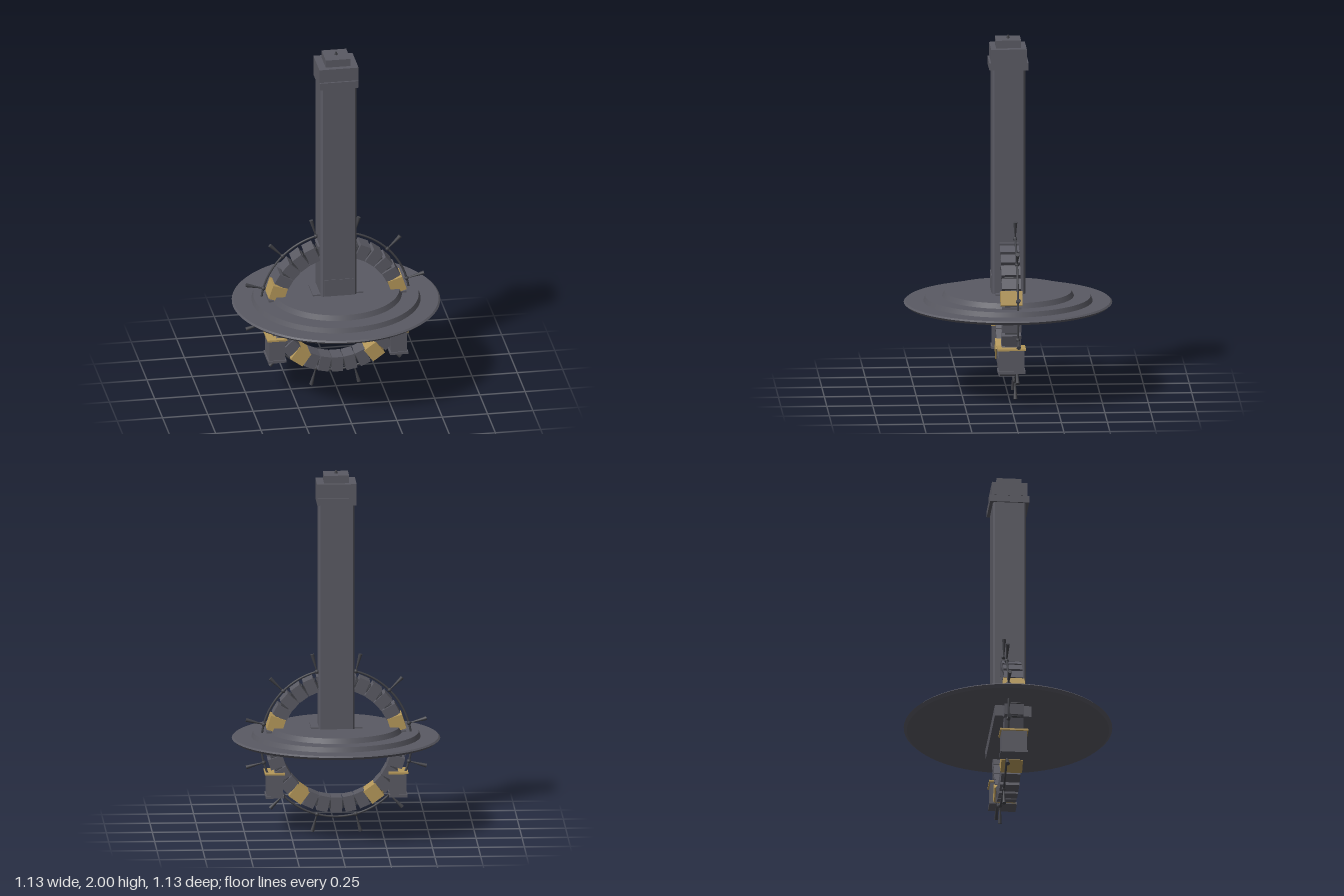
import * as THREE from 'three';

const iron = new THREE.MeshStandardMaterial({ color: 0x5a5a63 });
iron.name = 'iron grey';
const darkIron = new THREE.MeshStandardMaterial({ color: 0x424349 });
darkIron.name = 'dark iron';
const brass = new THREE.MeshStandardMaterial({ color: 0xb5985a });
brass.name = 'brass';

function add(parent, name, geometry, material, x = 0, y = 0, z = 0) {
  const mesh = new THREE.Mesh(geometry, material);
  mesh.name = name;
  mesh.position.set(x, y, z);
  parent.add(mesh);
  return mesh;
}

const box = (w, h, d) => new THREE.BoxGeometry(w, h, d);

// Vertical prism with chamfered corners, standing on y = 0
function chamferedPrism(w, d, h, c) {
  const a = w / 2, b = d / 2;
  const shape = new THREE.Shape([
    [-a + c, -b], [a - c, -b], [a, -b + c], [a, b - c],
    [a - c, b], [-a + c, b], [-a, b - c], [-a, -b + c],
  ].map(([x, y]) => new THREE.Vector2(x, y)));
  return new THREE.ExtrudeGeometry(shape, { depth: h, bevelEnabled: false }).rotateX(-Math.PI / 2);
}

// Stepped round platform
function platform() {
  const g = new THREE.Group();
  g.name = 'platform';
  const tiers = [
    // top radius, bottom radius, bottom y, top y
    [0.567, 0.55, 0.503, 0.518],
    [0.558, 0.567, 0.518, 0.526],
    [0.45, 0.46, 0.526, 0.553],
    [0.345, 0.358, 0.553, 0.581],
  ];
  tiers.forEach(([rt, rb, y0, y1]) =>
    add(g, 'platformTier', new THREE.CylinderGeometry(rt, rb, y1 - y0, 96), iron, 0, (y0 + y1) / 2, 0));

  // Keel beam under the platform, one end cut at a slant
  const keel = new THREE.Shape();
  keel.moveTo(-0.32, 0.505);
  keel.lineTo(-0.32, 0.44);
  keel.lineTo(0.24, 0.44);
  keel.lineTo(0.285, 0.505);
  keel.closePath();
  add(g, 'keelBeam', new THREE.ExtrudeGeometry(keel, { depth: 0.2, bevelEnabled: false }), iron, 0, 0, -0.1);
  add(g, 'keelPin', box(0.035, 0.02, 0.03), darkIron, 0.205, 0.437, 0).rotation.z = -0.5;
  return g;
}

// Square tower with collar and stepped cap
function tower() {
  const g = new THREE.Group();
  g.name = 'tower';
  add(g, 'towerShaft', chamferedPrism(0.196, 0.18, 1.26, 0.01), iron, 0, 0.575, 0);
  add(g, 'towerFoot', box(0.28, 0.01, 0.15), iron, 0, 0.584, 0);
  add(g, 'towerCollar', box(0.214, 0.04, 0.214), iron, 0, 1.845, 0);
  add(g, 'towerHead', box(0.216, 0.077, 0.194), iron, 0, 1.902, 0);
  add(g, 'towerCap', box(0.136, 0.045, 0.136), iron, 0, 1.96, 0);
  add(g, 'towerKnob', new THREE.CylinderGeometry(0.006, 0.008, 0.02, 12), darkIron, 0, 1.99, 0);
  for (const s of [-1, 1])
    add(g, 'doorPanel', box(0.078, 0.095, 0.006), iron, s * 0.042, 0.632, 0.091);
  return g;
}

// Segmented wheel, outer rail and flared spikes
function wheel() {
  const g = new THREE.Group();
  g.name = 'wheel';
  g.position.y = 0.495;
  for (let i = 0; i < 30; i++) {
    const spoke = new THREE.Group();
    spoke.name = 'wheelSegment';
    spoke.rotation.z = THREE.MathUtils.degToRad(i * 12);
    const isBrass = [6, 12, 18, 24].includes(i);
    if (isBrass) {
      add(spoke, 'brassSegment', box(0.08, 0.084, 0.118), brass, 0, 0.345, 0);
    } else {
      add(spoke, 'ironSegment', box(0.06, 0.084, 0.104), iron, 0, 0.342, 0);
      add(spoke, 'segmentLink', box(0.07, 0.045, 0.07), darkIron, 0, 0.342, 0);
    }
    g.add(spoke);
  }
  add(g, 'outerRail', new THREE.TorusGeometry(0.409, 0.006, 8, 96), darkIron, 0, 0, -0.033);
  for (let i = 0; i < 12; i++) {
    const arm = new THREE.Group();
    arm.name = 'spikeArm';
    arm.rotation.z = THREE.MathUtils.degToRad(15 + i * 30);
    add(arm, 'spike', new THREE.CylinderGeometry(0.011, 0.003, 0.095, 10), darkIron, 0, 0.461, -0.033);
    add(arm, 'spikeSocket', new THREE.SphereGeometry(0.012, 10, 8), darkIron, 0, 0.409, -0.033);
    g.add(arm);
  }
  return g;
}

// Hanging box with a brass lid and a base plate
function cabin(side) {
  const g = new THREE.Group();
  g.name = side > 0 ? 'leftCabin' : 'rightCabin';
  g.position.x = side * 0.336;
  add(g, 'cabinBody', box(0.088, 0.125, 0.138), iron, 0, 0.265, 0);
  add(g, 'cabinLid', box(0.108, 0.01, 0.154), brass, 0, 0.33, 0);
  add(g, 'cabinBase', box(0.1, 0.014, 0.15), iron, 0, 0.203, 0);
  return g;
}

export function createModel() {
  const model = new THREE.Group();
  model.name = 'towerWithWheel';
  model.add(platform(), tower(), wheel(), cabin(1), cabin(-1));
  return model;
}
